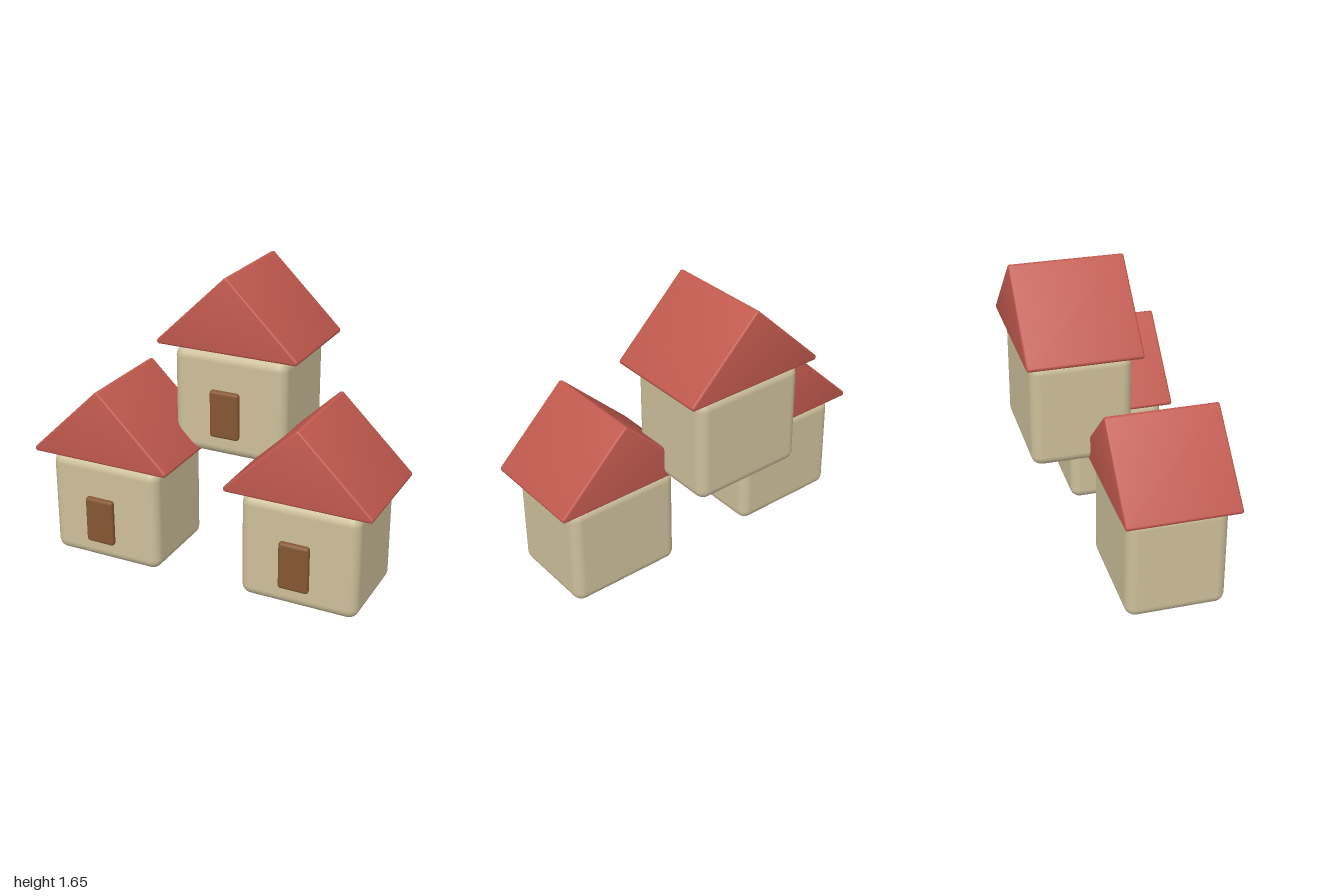
import * as THREE from 'three';
import { toCreasedNormals } from 'three/addons/utils/BufferGeometryUtils.js';
import { RoundedBoxGeometry } from 'three/addons/geometries/RoundedBoxGeometry.js';

// Gable prism with softly rounded edges, base at y = 0, centred on z
function gableRoof(width, height, depth) {
  const bevel = 0.012, tip = 0.004, r = bevel + tip;
  const half = width / 2 - r, base = r, apex = height - r;
  const normal = Math.PI / 2 - Math.atan2(apex - base, half); // right slope normal
  const shape = new THREE.Shape();
  shape.absarc(0, apex, tip, normal, Math.PI - normal, false);
  shape.absarc(-half, base, tip, Math.PI - normal, Math.PI * 1.5, false);
  shape.absarc(half, base, tip, Math.PI * 1.5, Math.PI * 2 + normal, false);
  const geometry = new THREE.ExtrudeGeometry(shape, {
    depth: depth - 2 * bevel, bevelEnabled: true, bevelSize: bevel,
    bevelThickness: bevel, bevelSegments: 4, curveSegments: 5,
  });
  geometry.translate(0, 0, bevel - depth / 2);
  return toCreasedNormals(geometry, 0.6);
}

export function createModel() {
  const material = (name, color) => {
    const m = new THREE.MeshStandardMaterial({ color });
    m.name = name;
    return m;
  };
  const wallMaterial = material('sandWall', 0xcdbf9a);
  const roofMaterial = material('redRoof', 0xc1594e);
  const doorMaterial = material('brownDoor', 0x855733);

  const wallGeometry = new RoundedBoxGeometry(0.666, 0.6, 0.545, 5, 0.058);
  const roofGeometry = gableRoof(0.83, 0.418, 0.615);
  const doorGeometry = new RoundedBoxGeometry(0.172, 0.272, 0.04, 4, 0.018);

  // One house: walls, roof floating just above, door just in front
  function house(name, x, y, z) {
    const group = new THREE.Group();
    group.name = name;
    const add = (part, geometry, mat, py, pz) => {
      const mesh = new THREE.Mesh(geometry, mat);
      mesh.name = part;
      mesh.position.set(0, py, pz);
      group.add(mesh);
    };
    add('walls', wallGeometry, wallMaterial, 0.303, 0);
    add('roof', roofGeometry, roofMaterial, 0.614, 0);
    add('door', doorGeometry, doorMaterial, 0.27, 0.312);
    group.position.set(x, y, z);
    return group;
  }

  const model = new THREE.Group();
  model.name = 'houseCluster';
  model.add(
    house('rightHouse', -0.585, 0, 0.162),
    house('leftHouse', 0.583, 0, 0.162),
    house('upperHouse', 0.014, 0.617, -0.183),
  );
  return model;
}
